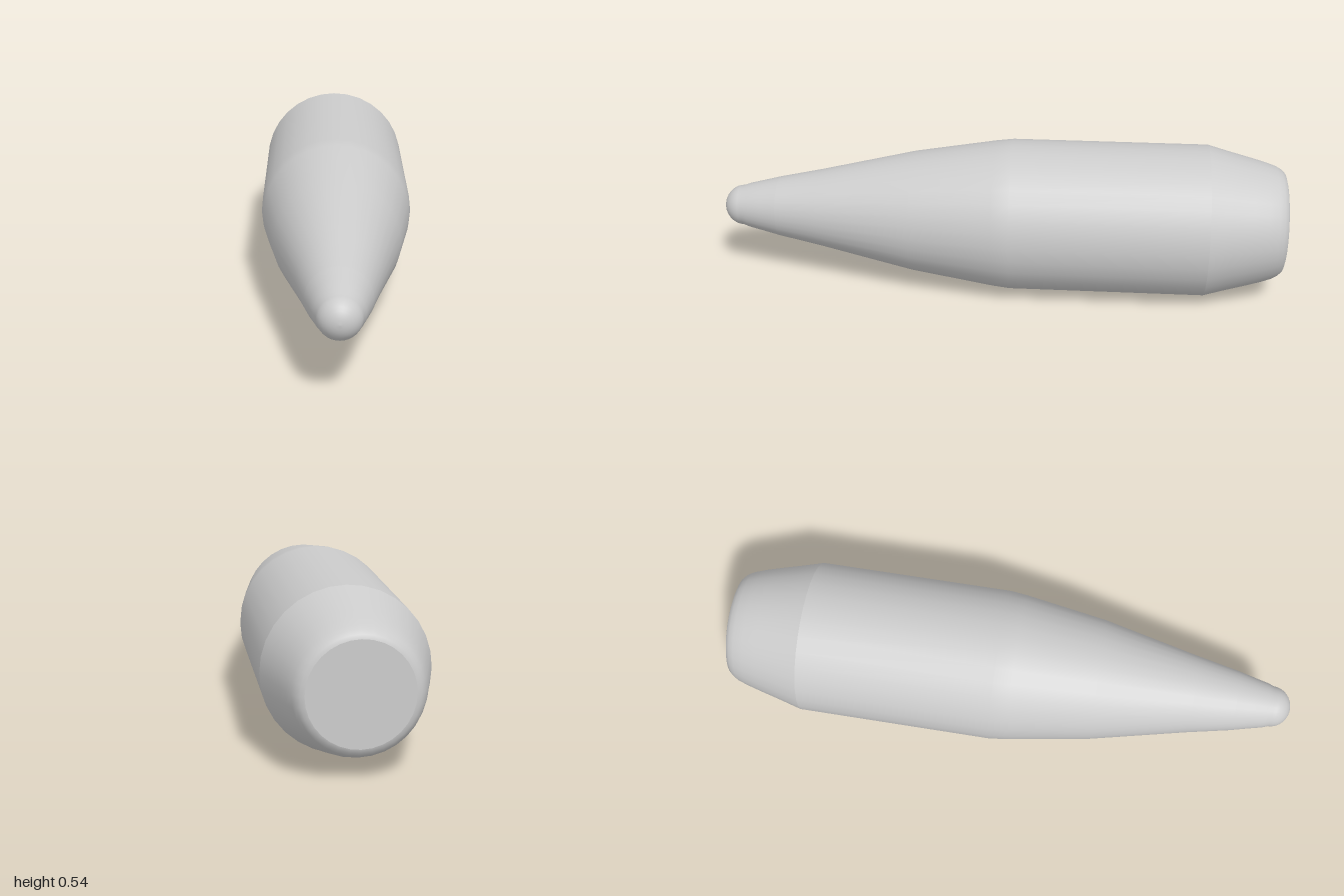
import * as THREE from 'three';

const RADIUS = 0.268;
const SIDES = 32;

// Turns a [radius, z] profile, listed back to front, around the long axis.
function turned(name, profile) {
  const points = profile.map(([r, z]) => new THREE.Vector2(r, z));
  const geometry = new THREE.LatheGeometry(points, SIDES);
  geometry.rotateX(Math.PI / 2);
  const mesh = new THREE.Mesh(geometry, new THREE.MeshStandardMaterial({ color: 0xcccccc }));
  mesh.name = name;
  mesh.position.y = RADIUS;
  return mesh;
}

export function createModel() {
  const group = new THREE.Group();
  group.name = 'projectile';

  // Flat base with a rounded rim, tapered tail, straight barrel and curved nose
  group.add(
    turned('base', [[0, -1], [0.165, -1]]),
    turned('tail', [
      [0.165, -1], [0.178, -0.996], [0.19, -0.983], [0.2, -0.965],
      [0.212, -0.93], [0.226, -0.88], [0.247, -0.8], [RADIUS, -0.725],
    ]),
    turned('body', [
      [RADIUS, -0.725], [RADIUS, -0.04], [0.261, 0.02],
      [0.215, 0.31], [0.138, 0.65], [0.107, 0.8],
    ]),
  );

  // Slim tip ending in a small dome
  const tip = [[0.107, 0.8], [0.092, 0.86], [0.08, 0.91]];
  const steps = 8;
  for (let i = 0; i <= steps; i++) {
    const a = (i / steps) * Math.PI / 2;
    tip.push([i === steps ? 0 : 0.072 * Math.cos(a), 0.932 + 0.068 * Math.sin(a)]);
  }
  group.add(turned('tip', tip));

  return group;
}
